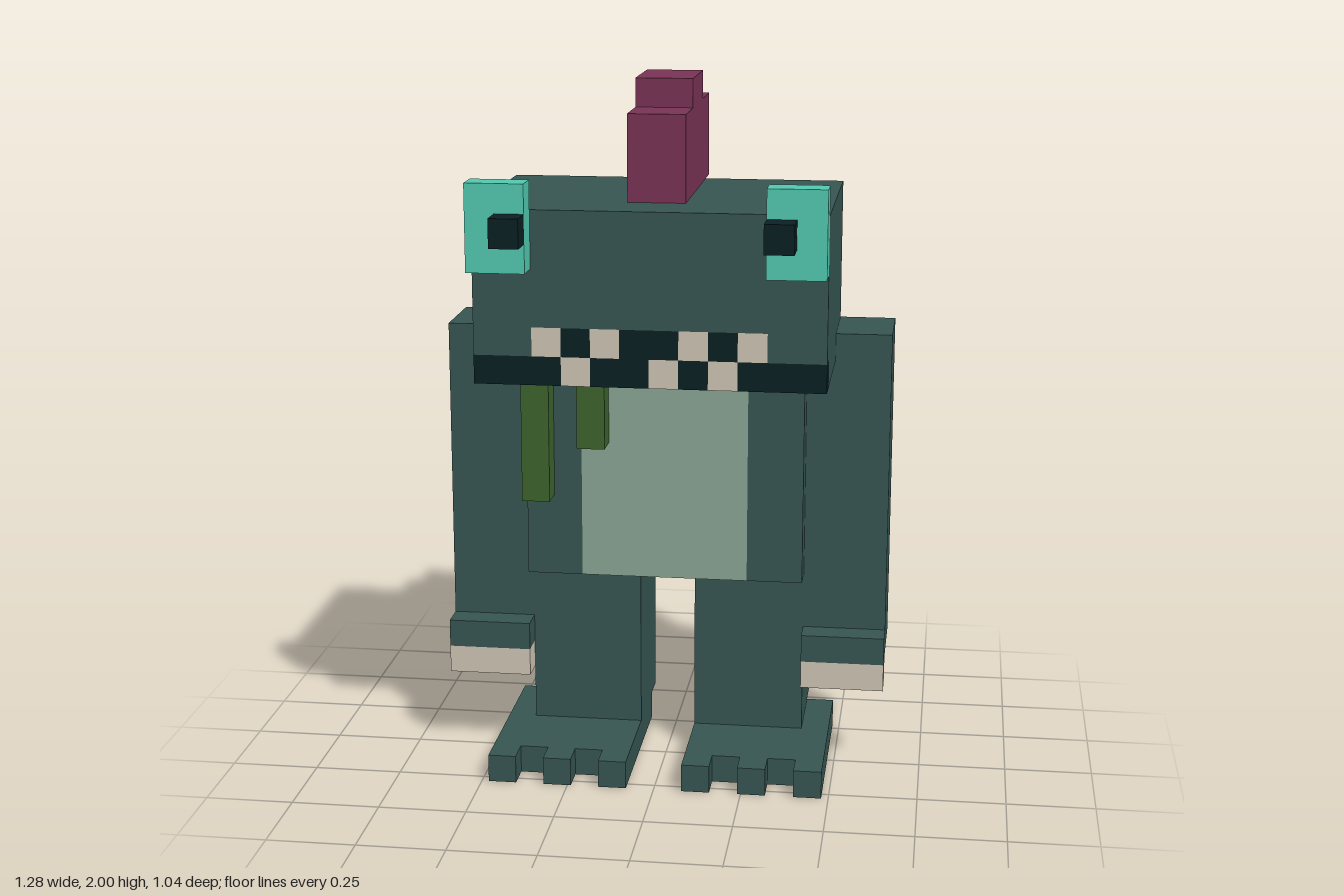
import * as THREE from 'three';

const material = (name, color) => {
  const m = new THREE.MeshStandardMaterial({ color });
  m.name = name;
  return m;
};

export function createModel() {
  const root = new THREE.Group();
  root.name = 'blockMonster';

  const skin = material('swampGreen', 0x365552);
  const belly = material('paleGreen', 0x8aa593);
  const aqua = material('aqua', 0x52c9b0);
  const crest = material('plum', 0x7a3355);
  const bone = material('bone', 0xcdc4b4);
  const vine = material('mossGreen', 0x3c642c);
  const dark = material('nearBlack', 0x0b2023);

  const group = (name) => {
    const g = new THREE.Group();
    g.name = name;
    root.add(g);
    return g;
  };

  // Box given by its two opposite corners
  const box = (parent, name, mat, [x0, x1], [y0, y1], [z0, z1]) => {
    const mesh = new THREE.Mesh(new THREE.BoxGeometry(x1 - x0, y1 - y0, z1 - z0), mat);
    mesh.position.set((x0 + x1) / 2, (y0 + y1) / 2, (z0 + z1) / 2);
    mesh.name = name;
    parent.add(mesh);
  };
  // Same box on either side of the body
  const side = (s, [a, b]) => (s > 0 ? [a, b] : [-b, -a]);

  // Torso with an inset belly panel
  const torso = group('torso');
  box(torso, 'back', skin, [-0.4, 0.4], [0.56, 1.36], [-0.44, -0.04]);
  box(torso, 'bellyPanel', belly, [-0.24, 0.24], [0.56, 1.2], [-0.04, 0.04]);

  // Head, with the front layer left open for the mouth
  const head = group('head');
  box(head, 'skull', skin, [-0.48, 0.48], [1.2, 1.68], [-0.28, 0.28]);
  box(head, 'brow', skin, [-0.48, 0.48], [1.36, 1.68], [0.28, 0.36]);

  // Mouth rows: runs of dark gum (d) and teeth (t), one letter per block
  const mouth = group('mouth');
  const rows = [
    { cells: 'dddtddtdtddd', y: 1.2, x: -0.48 },
    { cells: 'tdtddtdt', y: 1.28, x: -0.32 },
  ];
  for (const { cells, y, x } of rows) {
    [...cells].forEach((c, i) => {
      const left = x + i * 0.08;
      box(mouth, c === 't' ? 'tooth' : 'gum', c === 't' ? bone : dark,
        [left, left + 0.08], [y, y + 0.08], [0.28, 0.36]);
    });
  }

  // Crest on top of the head
  const crestGroup = group('crest');
  box(crestGroup, 'crestBase', crest, [-0.08, 0.08], [1.68, 1.92], [-0.36, 0.2]);
  box(crestGroup, 'crestTop', crest, [-0.08, 0.08], [1.92, 2], [-0.2, 0.04]);

  for (const s of [1, -1]) {
    const label = s > 0 ? 'left' : 'right';
    box(torso, label + 'ChestSide', skin, side(s, [0.24, 0.4]), [0.56, 1.2], [-0.04, 0.04]);
    box(head, label + 'Cheek', skin, side(s, [0.32, 0.48]), [1.28, 1.36], [0.28, 0.36]);

    // Eye plate and pupil
    const eye = group(label + 'Eye');
    box(eye, 'eyeball', aqua, side(s, [0.32, 0.48]), [1.52, 1.76], [0.36, 0.44]);
    box(eye, 'pupil', dark, side(s, [0.32, 0.4]), [1.6, 1.68], [0.44, 0.52]);

    // Arm, knuckles and claws
    const arm = group(label + 'Arm');
    box(arm, 'arm', skin, side(s, [0.4, 0.64]), [0.32, 1.28], [-0.28, -0.04]);
    box(arm, 'hand', skin, side(s, [0.4, 0.64]), [0.32, 0.4], [-0.04, 0.04]);
    box(arm, 'claws', bone, side(s, [0.4, 0.64]), [0.24, 0.32], [-0.04, 0.04]);

    // Leg, foot and three toes
    const leg = group(label + 'Leg');
    box(leg, 'leg', skin, side(s, [0.08, 0.4]), [0.08, 0.56], [-0.36, -0.04]);
    box(leg, 'foot', skin, side(s, [0.08, 0.48]), [0, 0.08], [-0.28, 0.2]);
    for (const x of [0.08, 0.24, 0.4]) {
      box(leg, 'toe', skin, side(s, [x, x + 0.08]), [0, 0.08], [0.2, 0.28]);
    }
  }

  // Weeds hanging from the chin and down the back
  const weeds = group('weeds');
  box(weeds, 'longChinWeed', vine, [-0.4, -0.32], [0.8, 1.2], [0.04, 0.12]);
  box(weeds, 'shortChinWeed', vine, [-0.24, -0.16], [0.96, 1.2], [0.04, 0.12]);
  box(weeds, 'backWeed', vine, [0.24, 0.4], [0.88, 1.36], [-0.52, -0.44]);
  box(weeds, 'backWeedTip', vine, [0.24, 0.32], [0.64, 0.88], [-0.52, -0.44]);

  // Ring of warts on the back
  const warts = group('warts');
  for (const [x, y] of [[0.16, 1.04], [0, 1.2], [-0.24, 1.2], [-0.08, 0.88], [-0.32, 0.96]]) {
    box(warts, 'wart', aqua, [x, x + 0.08], [y, y + 0.08], [-0.52, -0.44]);
  }

  return root;
}
